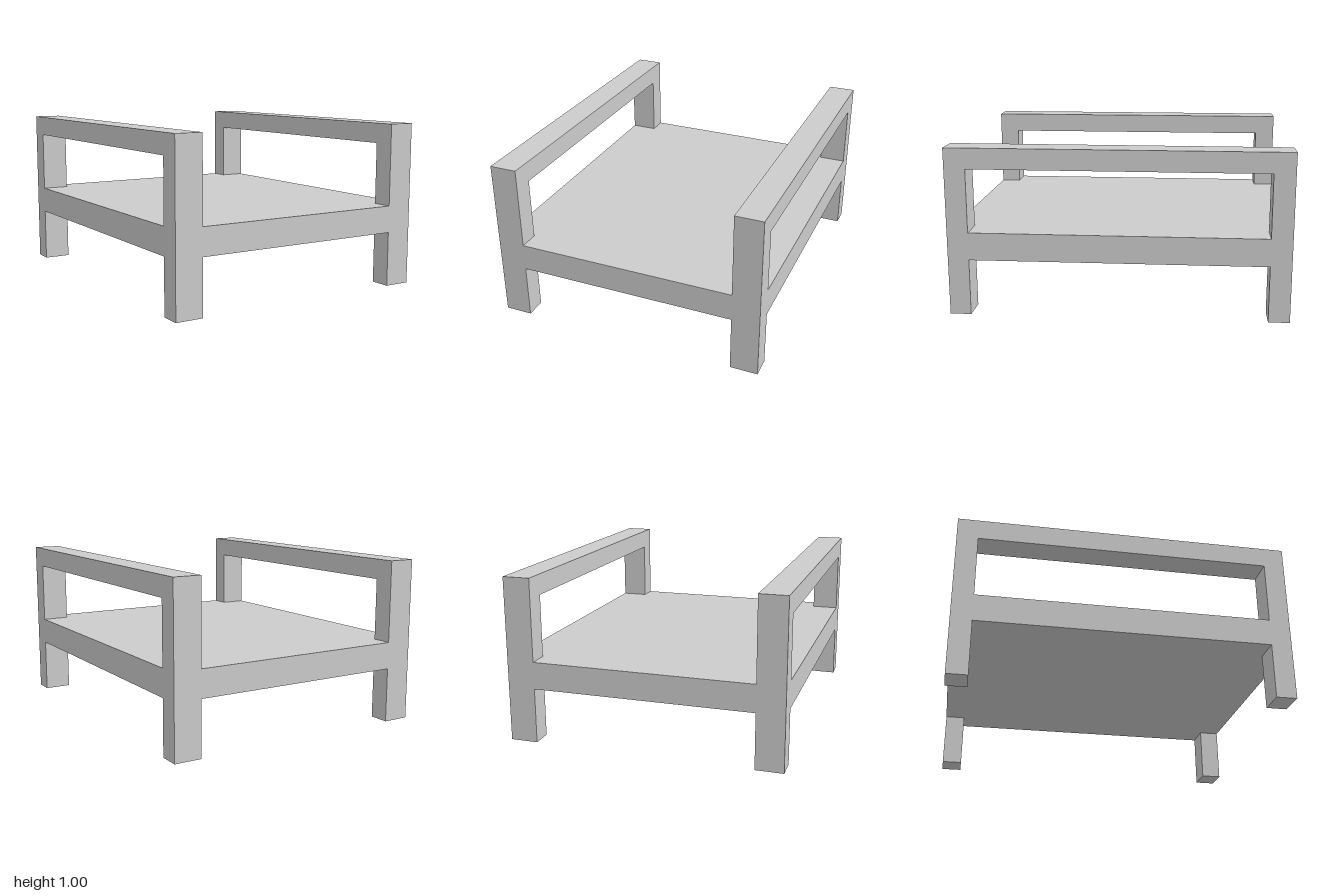
import * as THREE from 'three';

const HALF_WIDTH = 0.833, FRAME = 0.167; // overall half width, side frame thickness
const LEG = 0.125, DECK_LOW = 0.335, DECK_TOP = 0.5, RAIL_LOW = 0.877;

// Closed outline from [x, y] corners
const outline = (Type, corners) => new Type(corners.map(([x, y]) => new THREE.Vector2(x, y)));

export function createModel() {
  const group = new THREE.Group();
  const material = new THREE.MeshStandardMaterial({ color: 0xcccccc, flatShading: true });
  const inner = 1 - LEG;

  // Side frame: two legs, a deck-level beam and an arm rail, with one opening
  const profile = outline(THREE.Shape, [
    [-1, 0], [-inner, 0], [-inner, DECK_LOW], [inner, DECK_LOW],
    [inner, 0], [1, 0], [1, 1], [-1, 1],
  ]);
  profile.holes.push(outline(THREE.Path, [
    [-inner, DECK_TOP], [-inner, RAIL_LOW], [inner, RAIL_LOW], [inner, DECK_TOP],
  ]));
  const frameGeometry = new THREE.ExtrudeGeometry(profile, { depth: FRAME, bevelEnabled: false });
  frameGeometry.translate(0, 0, -FRAME / 2).rotateY(Math.PI / 2);

  for (const [name, side] of [['leftSideFrame', 1], ['rightSideFrame', -1]]) {
    const frame = new THREE.Mesh(frameGeometry, material);
    frame.name = name;
    frame.position.x = side * (HALF_WIDTH - FRAME / 2);
    group.add(frame);
  }

  // Deck slab between the frames
  const deck = new THREE.Mesh(
    new THREE.BoxGeometry(2 * (HALF_WIDTH - FRAME), DECK_TOP - DECK_LOW, 2), material);
  deck.name = 'deck';
  deck.position.y = (DECK_TOP + DECK_LOW) / 2;
  group.add(deck);

  return group;
}
